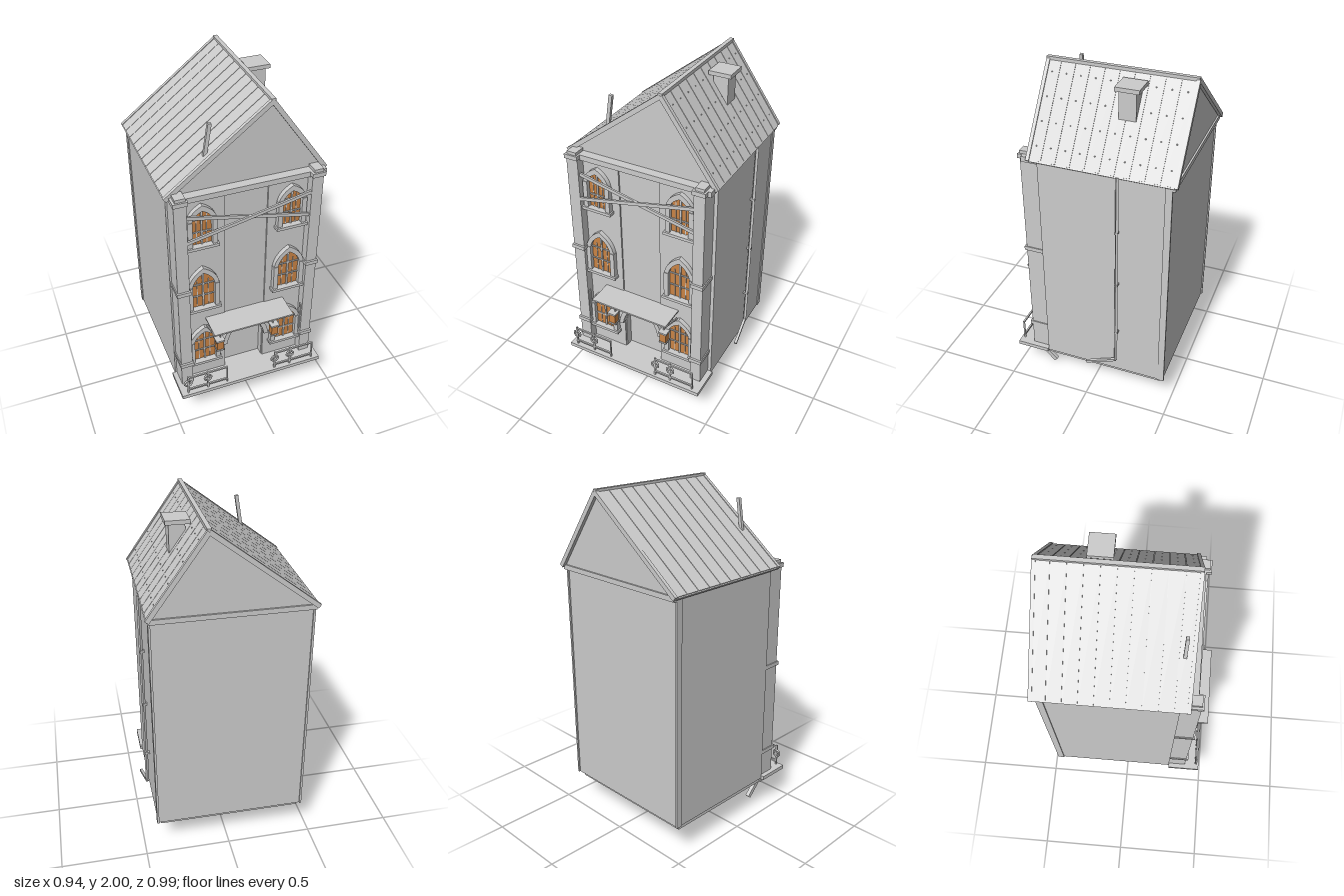
import * as THREE from 'three';

const stone = new THREE.MeshStandardMaterial({ color: 0xcccccc });
stone.name = 'stone grey';
const amber = new THREE.MeshStandardMaterial({ color: 0xc98445 });
amber.name = 'amber glass';

const V = (x, y, z) => new THREE.Vector3(x, y, z);

export function createModel() {
  const model = new THREE.Group();
  model.name = 'townHouse';

  const add = (name, geo, mat = stone) => {
    const m = new THREE.Mesh(geo, mat);
    m.name = name;
    model.add(m);
    return m;
  };
  // Box given by its limits on each axis
  const box = (name, x0, x1, y0, y1, z0, z1, mat) => {
    const m = add(name, new THREE.BoxGeometry(x1 - x0, y1 - y0, z1 - z0), mat);
    m.position.set((x0 + x1) / 2, (y0 + y1) / 2, (z0 + z1) / 2);
    return m;
  };
  // Rectangular bar between two points
  const bar = (name, a, b, w, h) => {
    const m = add(name, new THREE.BoxGeometry(w, h, a.distanceTo(b)));
    m.position.copy(a).lerp(b, 0.5);
    m.lookAt(b);
    return m;
  };
  const slab = (name, shape, z0, z1, mat) => {
    const g = new THREE.ExtrudeGeometry(shape, { depth: z1 - z0, bevelEnabled: false, curveSegments: 8 });
    g.translate(0, 0, z0);
    return add(name, g, mat);
  };

  // Pointed arch drawn right foot -> apex -> left foot, or the reverse
  const archOver = (s, cx, hw, ys, ya, dir = 1) => {
    const k = ys + (ya - ys) * 0.62;
    s.quadraticCurveTo(cx + dir * hw * 0.88, k, cx, ya);
    s.quadraticCurveTo(cx - dir * hw * 0.88, k, cx - dir * hw, ys);
  };
  const archShape = (cx, hw, y0, ys, ya) => {
    const s = new THREE.Shape();
    s.moveTo(cx - hw, y0);
    s.lineTo(cx + hw, y0);
    s.lineTo(cx + hw, ys);
    archOver(s, cx, hw, ys, ya);
    s.closePath();
    return s;
  };
  const archBand = (cx, hw, ys, ya, t) => {
    const s = new THREE.Shape();
    s.moveTo(cx + hw, ys);
    archOver(s, cx, hw, ys, ya);
    s.lineTo(cx - hw + t, ys);
    archOver(s, cx, hw - t, ys, ya - t * 1.35, -1);
    s.closePath();
    return s;
  };

  // Main block, plinth and front deck
  box('mainBody', -0.45, 0.42, 0.195, 1.54, -0.46, 0.28);
  box('plinth', -0.435, 0.4, 0.163, 0.2, -0.435, 0.39);
  box('frontDeck', -0.468, 0.432, 0.187, 0.211, 0.28, 0.48);
  for (const x of [-0.45, 0.42]) box('backCornerPost', x - 0.006, x + 0.006, 0.195, 1.54, -0.468, -0.43);
  box('backCornice', -0.455, 0.43, 1.515, 1.543, -0.485, -0.45);

  // Diagonal deck struts
  for (const x of [-0.345, 0.305]) bar('deckStrut', V(x, 0.19, 0.465), V(x, 0.01, 0.288), 0.024, 0.026);

  // Facade: side panels, and a recessed centre notched for the doorway
  box('facadePanel', -0.37, -0.145, 0.2, 1.53, 0.27, 0.335);
  box('facadePanel', 0.105, 0.335, 0.2, 1.53, 0.27, 0.335);
  const centre = new THREE.Shape();
  centre.moveTo(-0.145, 0.2);
  centre.lineTo(-0.14, 0.2);
  centre.lineTo(-0.14, 0.42);
  archOver(centre, -0.02, 0.12, 0.42, 0.605, -1);
  centre.lineTo(0.1, 0.2);
  centre.lineTo(0.105, 0.2);
  centre.lineTo(0.105, 1.53);
  centre.lineTo(-0.145, 1.53);
  centre.closePath();
  slab('facadeCentre', centre, 0.27, 0.325);
  slab('doorArch', archBand(-0.02, 0.148, 0.425, 0.645, 0.028), 0.32, 0.365);
  box('frontCornice', -0.44, 0.425, 1.518, 1.55, 0.28, 0.37);

  // Pilasters with bands and capitals
  for (const [a, b] of [[-0.44, -0.37], [0.335, 0.4]]) {
    box('pilaster', a, b, 0.2, 1.54, 0.27, 0.388);
    box('pilasterFoot', a - 0.004, b + 0.004, 0.165, 0.2, 0.28, 0.392);
    for (const y of [0.372, 0.935]) box('pilasterBand', a - 0.006, b + 0.006, y - 0.012, y + 0.012, 0.275, 0.4);
    box('pilasterCapital', a - 0.006, b + 0.006, 1.525, 1.55, 0.32, 0.4);
    box('pilasterCap', a + 0.008, b - 0.004, 1.55, 1.568, 0.32, 0.39);
  }

  // Arched windows in three storeys
  const rows = [[0.34, 0.5, 0.61, 0.068], [0.77, 0.935, 1.06, 0.068], [1.22, 1.385, 1.48, 0.058]];
  for (const cx of [-0.278, 0.24]) {
    for (const [y0, ys, ya, hw] of rows) {
      slab('windowGlass', archShape(cx, hw, y0, ys, ya - 0.025), 0.334, 0.341, amber);
      slab('windowArch', archBand(cx, hw + 0.024, ys, ya, 0.026), 0.33, 0.362);
      for (const s of [-1, 1]) {
        const x = cx + s * (hw + 0.012);
        box('windowJamb', x - 0.014, x + 0.014, y0, ys, 0.33, 0.366);
        const m = cx + s * hw * 0.5;
        box('thinGlazingBar', m - 0.002, m + 0.002, y0, ys + 0.03, 0.338, 0.345);
      }
      box('windowSill', cx - hw - 0.034, cx + hw + 0.034, y0 - 0.016, y0 + 0.002, 0.33, 0.376);
      box('glazingBar', cx - 0.005, cx + 0.005, y0, ya - 0.03, 0.338, 0.349);
      for (const f of [0.5, 1]) {
        const y = y0 + (ys - y0) * f;
        box('glazingCrossbar', cx - hw, cx + hw, y - 0.004, y + 0.004, 0.338, 0.347);
      }
    }
    // Slim spikes beside the lowest windows
    for (const s of [-1, 1]) box('windowSpike', cx + s * 0.09 - 0.003, cx + s * 0.09 + 0.003, 0.4, 0.605, 0.362, 0.378);
  }

  // Crossed boards over the top storey
  bar('crossBoard', V(-0.37, 1.43, 0.372), V(0.335, 1.275, 0.372), 0.012, 0.02);
  bar('crossBoard', V(-0.37, 1.275, 0.382), V(0.335, 1.43, 0.382), 0.012, 0.02);

  // Door canopy on slanted brackets
  box('canopy', -0.265, 0.225, 0.652, 0.662, 0.33, 0.493);
  for (const x of [-0.26, 0.22]) bar('canopyBracket', V(x, 0.653, 0.488), V(x, 0.605, 0.345), 0.008, 0.01);

  // Lanterns
  for (const x of [-0.197, 0.155]) {
    box('lanternGlass', x - 0.021, x + 0.021, 0.435, 0.498, 0.36, 0.402, amber);
    box('lanternTop', x - 0.027, x + 0.027, 0.498, 0.51, 0.354, 0.408);
    box('lanternBase', x - 0.024, x + 0.024, 0.425, 0.436, 0.357, 0.405);
    box('lanternArm', x - 0.006, x + 0.006, 0.47, 0.482, 0.325, 0.362);
  }

  // Railings with ring ornaments
  for (const [x0, x1, rings] of [[-0.45, -0.175, [-0.425, -0.3]], [0.115, 0.388, [0.135, 0.237]]]) {
    for (const y of [0.237, 0.335]) box('rail', x0 + 0.02, x1, y - 0.005, y + 0.005, 0.455, 0.465);
    box('railPost', x1 - 0.006, x1, 0.21, 0.34, 0.455, 0.465);
    for (const x of rings) {
      box('railPost', x - 0.005, x + 0.005, 0.21, 0.345, 0.455, 0.465);
      add('railRing', new THREE.TorusGeometry(0.022, 0.006, 6, 16)).position.set(x, 0.29, 0.46);
      const hub = add('railHub', new THREE.CylinderGeometry(0.01, 0.01, 0.014, 10));
      hub.rotation.x = Math.PI / 2;
      hub.position.set(x, 0.29, 0.46);
    }
  }

  // Gable core
  const gable = new THREE.Shape();
  gable.moveTo(-0.455, 1.535);
  gable.lineTo(0.425, 1.535);
  gable.lineTo(0.115, 1.975);
  gable.closePath();
  slab('gable', gable, -0.475, 0.318);

  // Roof slopes: under-slab, planks with narrow seams, barge boards
  const ridge = [0.115, 1.988];
  for (const ex of [-0.466, 0.434]) {
    const eave = [ex, 1.54];
    const slope = (name, z, w, h, lift) =>
      bar(name, V(eave[0], eave[1] + lift, z), V(ridge[0], ridge[1] + lift, z), w, h);
    slope('roofSlab', -0.08, 0.8, 0.014, -0.008);
    for (let i = 0; i < 10; i++) slope('roofPlank', -0.448 + i * 0.0818, 0.0785, 0.007, 0.003);
    slope('bargeBoard', 0.324, 0.02, 0.026, -0.004);
    slope('bargeBoard', -0.488, 0.02, 0.026, -0.004);
  }
  box('ridgeCap', 0.103, 0.127, 1.982, 2, -0.495, 0.333);

  // Nail heads on the steep slope
  for (let i = 0; i < 10; i++) {
    for (let j = 0; j < 4; j++) {
      const t = 0.14 + j * 0.24;
      const nail = box('roofNail', -0.003, 0.003, -0.003, 0.003, -0.003, 0.003);
      nail.position.set(0.434 - 0.319 * t, 1.547 + 0.448 * t, -0.448 + i * 0.0818);
    }
  }

  // Chimney and leaning roof pole
  box('chimney', 0.183, 0.27, 1.7, 1.942, -0.217, -0.122);
  box('chimneyCap', 0.16, 0.291, 1.938, 1.961, -0.24, -0.107);
  bar('roofPole', V(-0.232, 1.71, 0.278), V(-0.202, 1.9, 0.278), 0.018, 0.02);

  // Drainpipe with a kicked-out foot
  const pipe = [V(0.437, 1.54, -0.178), V(0.441, 0.285, -0.172), V(0.46, 0.228, 0.008)];
  for (let i = 0; i < 2; i++) bar('drainpipe', pipe[i], pipe[i + 1], 0.016, 0.014);
  for (const y of [0.5, 0.85, 1.2]) box('pipeClip', 0.415, 0.448, y - 0.006, y + 0.006, -0.184, -0.166);

  return model;
}
